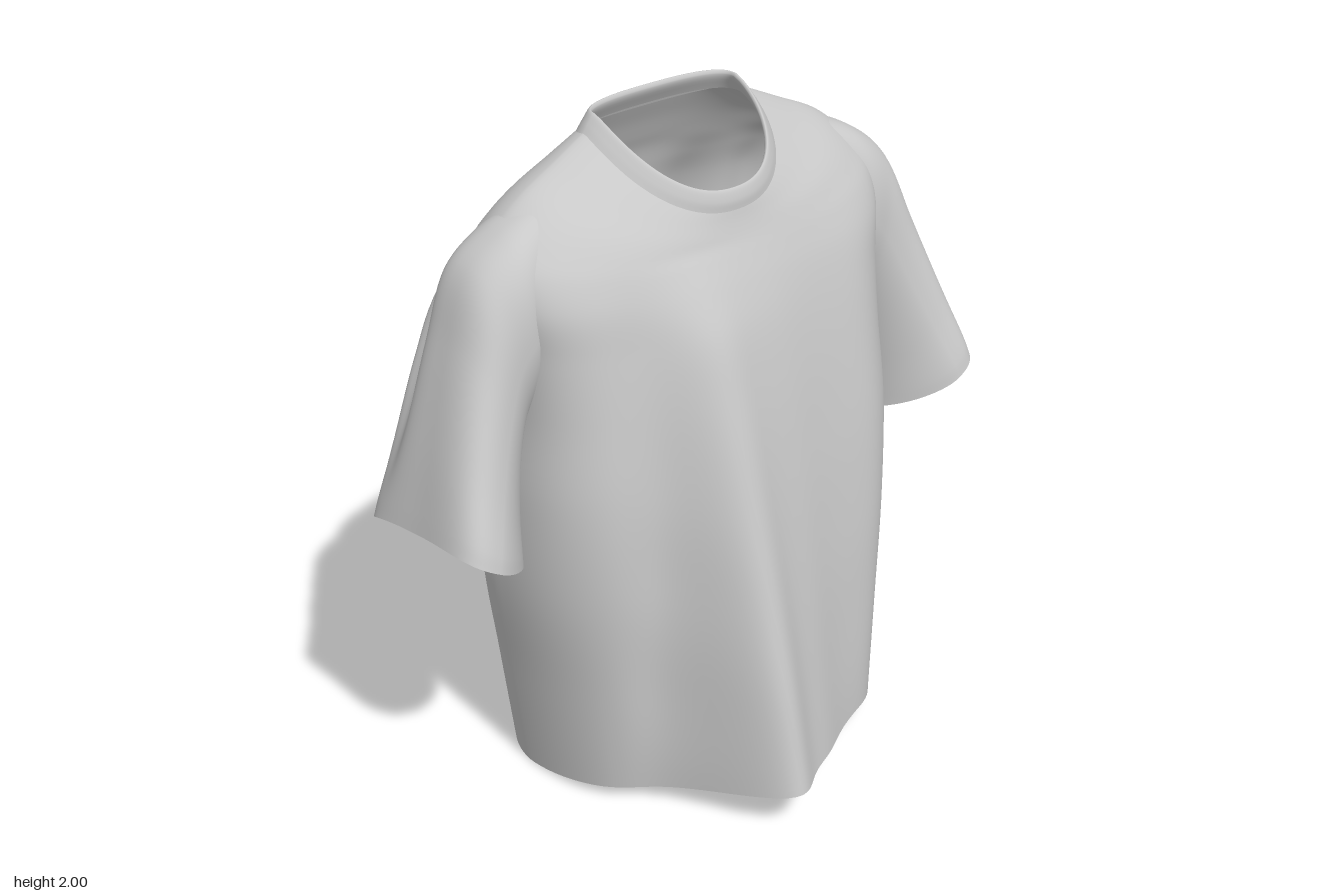
import * as THREE from 'three';

const fabric = new THREE.MeshStandardMaterial({ color: 0xc8c8c8, side: THREE.DoubleSide });
fabric.name = 'grey fabric';

const spow = (v, p) => Math.sign(v) * Math.pow(Math.abs(v), p);
const bump = (v, c, s) => Math.exp(-(((v - c) / s) ** 2));

// Loft a closed-loop surface: ringPoint(station, angle) gives the key points,
// and a smooth curve runs through the stations of every column.
function loft(name, stations, ringPoint, cols, rows, flip = false) {
  const pos = [], idx = [];
  for (let i = 0; i < cols; i++) {
    const a = (i / cols) * Math.PI * 2;
    const curve = new THREE.CatmullRomCurve3(stations.map((s) => ringPoint(s, a)));
    for (let j = 0; j <= rows; j++) pos.push(...curve.getPoint(j / rows).toArray());
  }
  const n = rows + 1;
  for (let i = 0; i < cols; i++) {
    const k = (i + 1) % cols;
    for (let j = 0; j < rows; j++) {
      const a = i * n + j, b = k * n + j, c = b + 1, d = a + 1;
      if (flip) idx.push(a, c, b, a, d, c);
      else idx.push(a, b, c, a, c, d);
    }
  }
  const g = new THREE.BufferGeometry();
  g.setAttribute('position', new THREE.Float32BufferAttribute(pos, 3));
  g.setIndex(idx);
  g.computeVertexNormals();
  const mesh = new THREE.Mesh(g, fabric);
  mesh.name = name;
  return mesh;
}

// Draped folds as [centre x, width, depth]
const frontFolds = [[-0.18, 0.13, 0.2], [-0.37, 0.1, -0.06], [0.02, 0.13, 0.06], [0.42, 0.12, 0.05]];
const backFolds = [[-0.25, 0.1, 0.125], [0.28, 0.1, 0.15], [-0.4, 0.1, 0.03], [0.42, 0.1, 0.03]];

// Body ring: heights at side, front, back; half width; z at front, side, back;
// fold strength at front and back; roundness at front and back
function bodyPoint([ys, yf, yb, w, zf, zs, zb, ff, fb, pf, pb], a) {
  const s = Math.sin(a), c = Math.cos(a), front = c >= 0;
  const p = front ? pf : pb;
  const x = w * spow(s, p), m = Math.pow(Math.abs(c), p);
  const face = Math.min(1, Math.abs(c) * 1.8);
  const fold = (front ? frontFolds : backFolds)
    .reduce((sum, [cx, sw, d]) => sum + d * bump(x, cx, sw) * face, 0);
  // folds behind the armholes are strongest at mid height
  const armFold = 0.2 * fb * (1 - fb) * bump(Math.abs(x), 0.5, 0.07) * face;
  const out = front ? ff * fold : -fb * fold - armFold;
  const z = zs + ((front ? zf : zb) - zs) * m + out;
  const y = ys + ((front ? yf : yb) - ys) * Math.pow(m, 1.25) + (front ? 0.25 * out : 0);
  return new THREE.Vector3(x, y, z);
}

const bodyRings = [
  [0.00, 0.10, 0.05, 0.55, 0.41, -0.20, -0.46, 1.00, 1.00, 0.96, 0.82],
  [0.35, 0.42, 0.38, 0.595, 0.36, -0.19, -0.46, 0.87, 0.92, 0.90, 0.80],
  [0.70, 0.75, 0.70, 0.64, 0.315, -0.17, -0.46, 0.67, 0.82, 0.82, 0.76],
  [1.00, 1.03, 1.00, 0.64, 0.275, -0.15, -0.46, 0.50, 0.70, 0.74, 0.72],
  [1.25, 1.28, 1.25, 0.62, 0.235, -0.14, -0.46, 0.35, 0.58, 0.72, 0.70],
  [1.45, 1.45, 1.45, 0.63, 0.20, -0.14, -0.455, 0.25, 0.42, 0.74, 0.72],
  [1.61, 1.56, 1.60, 0.655, 0.17, -0.14, -0.44, 0.12, 0.22, 0.78, 0.76],
  [1.71, 1.63, 1.69, 0.645, 0.145, -0.15, -0.415, 0.04, 0.08, 0.84, 0.82],
  [1.78, 1.665, 1.75, 0.59, 0.132, -0.155, -0.395, 0, 0, 0.88, 0.86],
  [1.84, 1.69, 1.80, 0.51, 0.122, -0.16, -0.37, 0, 0, 0.88, 0.86],
  [1.895, 1.72, 1.86, 0.39, 0.112, -0.175, -0.34, 0, 0, 0.90, 0.85],
  [1.945, 1.75, 1.92, 0.28, 0.104, -0.19, -0.305, 0, 0, 0.90, 0.80],
];

// Ribbed neckband, almost flush with the body and turned in at the edge
const collarRings = [
  [1.943, 1.747, 1.917, 0.284, 0.107, -0.19, -0.309, 0, 0, 0.90, 0.80],
  [1.968, 1.775, 1.955, 0.267, 0.106, -0.19, -0.292, 0, 0, 0.90, 0.80],
  [1.992, 1.806, 1.998, 0.246, 0.094, -0.19, -0.265, 0, 0, 0.88, 0.75],
  [1.982, 1.800, 1.985, 0.241, 0.086, -0.19, -0.258, 0, 0, 0.88, 0.75],
  [1.935, 1.760, 1.935, 0.264, 0.092, -0.19, -0.285, 0, 0, 0.90, 0.75],
];

// Sleeve ring: outer x, y; inner x, y; z front, back; lift of the front and back
// corners; outward push of the side corners; strength of the shoulder creases
const sleeveRings = [
  [0.50, 1.825, 0.54, 1.34, -0.02, -0.28, 0, 0, 0, 0],
  [0.62, 1.772, 0.57, 1.27, 0.02, -0.31, 0, 0, 0, 0.2],
  [0.722, 1.69, 0.60, 1.20, 0.025, -0.325, 0, 0, 0, 0.7],
  [0.797, 1.50, 0.625, 1.10, 0.05, -0.335, 0.02, 0, 0.01, 1],
  [0.88, 1.25, 0.65, 0.97, 0.105, -0.345, 0.035, -0.01, 0.03, 0.6],
  [0.932, 1.07, 0.66, 0.87, 0.155, -0.365, 0.045, -0.025, 0.05, 0.1],
  [0.948, 1.01, 0.66, 0.84, 0.165, -0.37, 0.05, -0.03, 0.055, 0],
];

function sleevePoint(side, [ox, oy, ix, iy, zf, zb, lf, lb, push, crease], a) {
  // flat outer face, narrower towards the underarm
  const p = Math.cos(a) > 0 ? 0.82 : 1.08;
  const c = spow(Math.cos(a), p), s = spow(Math.sin(a), p);
  const k = (1 + c) / 2, corner = Math.abs(s);
  // two soft creases run down the outer back of the sleeve
  const dent = crease * (0.03 * bump(a, 5.5, 0.28) - 0.015 * bump(a, 5.0, 0.25));
  const x = ix + (ox - ix) * k + push * corner * corner - dent;
  const y = iy + (oy - iy) * k + (s > 0 ? lf : lb) * corner;
  const z = (zf + zb) / 2 + ((zf - zb) / 2) * s + dent * 0.6;
  return new THREE.Vector3(side * x, y, z);
}

export function createModel() {
  const shirt = new THREE.Group();
  shirt.name = 'shirt';
  shirt.add(loft('body', bodyRings, bodyPoint, 180, 76));
  shirt.add(loft('collar', collarRings, bodyPoint, 96, 20));
  for (const side of [1, -1]) {
    const name = side > 0 ? 'leftSleeve' : 'rightSleeve';
    shirt.add(loft(name, sleeveRings, (r, a) => sleevePoint(side, r, a), 80, 42, side > 0));
  }
  return shirt;
}
